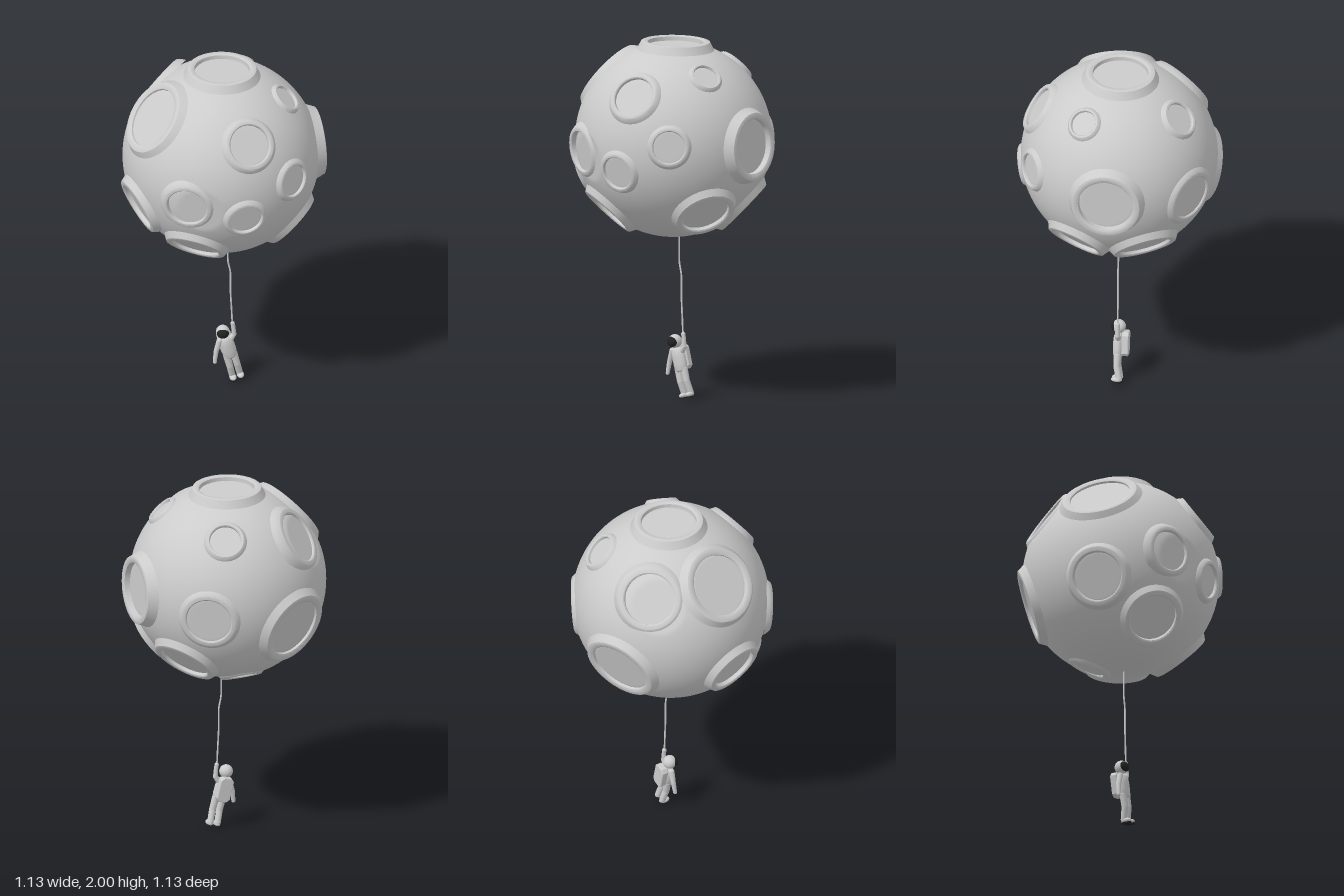
import * as THREE from 'three';
import { mergeVertices, toCreasedNormals } from 'three/addons/utils/BufferGeometryUtils.js';

const R = 0.542, CENTRE_Y = 1.457;
const grey = new THREE.MeshStandardMaterial({ color: 0xcccccc });
const dark = new THREE.MeshStandardMaterial({ color: 0x222222 });
const V = (x, y, z) => new THREE.Vector3(x, y, z);

// Craters: direction from the moon's centre, hole radius, rim lift, optional tilt of the axis
const CRATERS = [
  { dir: [0.008, 0.54, -0.008], hole: 0.153, lift: 0.026 },
  { dir: [0.055, 0.303, 0.44], hole: 0.112, lift: 0.02 },
  { dir: [0.3, 0.05, 0.446], hole: 0.088, lift: 0.017 },
  { dir: [0.013, -0.11, 0.53], hole: 0.09, lift: 0.018 },
  { dir: [-0.3, -0.037, 0.447], hole: 0.11, lift: 0.015, tilt: [0.13, -0.04, 0.05] },
  { dir: [-0.22, -0.386, 0.31], hole: 0.133, lift: 0.022 },
  { dir: [0.36, -0.36, 0.19], hole: 0.135, lift: 0.024 },
  { dir: [-0.485, -0.2, 0.1], hole: 0.133, lift: 0.026 },
  { dir: [0.33, 0.4, 0.15], hole: 0.07, lift: 0.016 },
  { dir: [0.165, 0.378, -0.36], hole: 0.085, lift: 0.018 },
  { dir: [0.54, 0.015, 0], hole: 0.152, lift: 0.036 },
  { dir: [0.3, -0.05, -0.445], hole: 0.125, lift: 0.01 },
  { dir: [0.34, -0.375, -0.19], hole: 0.142, lift: 0.022 },
  { dir: [-0.41, 0.34, 0.07], hole: 0.168, lift: 0.014, tilt: [0.03, -0.04, 0] },
  { dir: [-0.29, 0.32, -0.32], hole: 0.14, lift: 0.012, tilt: [-0.05, -0.1, 0.08] },
  { dir: [-0.21, -0.16, -0.47], hole: 0.168, lift: 0.018 },
  { dir: [0, -0.5, -0.2], hole: 0.09, lift: 0.01, tilt: [0, 0.05, -0.06] },
].map((c) => {
  const dir = V(...c.dir).normalize();
  const axis = dir.clone().add(V(...(c.tilt || [0, 0, 0]))).normalize();
  const floor = Math.sqrt(R * R - c.hole * c.hole);
  return { ...c, axis, floor, base: dir.multiplyScalar(floor) };
});

// Sphere cut flat by the floor plane of every crater
function moonSurface() {
  const sphere = new THREE.SphereGeometry(R, 240, 140);
  sphere.deleteAttribute('uv');
  sphere.deleteAttribute('normal');
  const geo = mergeVertices(sphere, 1e-5);
  const pos = geo.attributes.position, p = V(0, 0, 0);
  for (let i = 0; i < pos.count; i++) {
    p.fromBufferAttribute(pos, i);
    for (const { axis, base } of CRATERS) {
      const along = p.dot(axis), limit = base.dot(axis);
      if (along > limit) p.multiplyScalar(limit / along);
    }
    pos.setXYZ(i, p.x, p.y, p.z);
  }
  geo.computeVertexNormals();
  return geo;
}

// Raised rim, with its origin on the crater floor
function rimGeometry({ hole, lift, floor }) {
  const outer = hole * 1.45;
  const foot = Math.sqrt(R * R - outer * outer) - floor;
  const profile = [
    [outer, foot - 0.012], [hole * 1.38, foot * 0.8 + 0.002], [hole * 1.24, lift - 0.003],
    [hole * 1.19, lift], [hole * 1.05, lift], [hole, lift - 0.005], [hole * 0.98, -0.02],
  ].map(([r, y]) => new THREE.Vector2(r, y));
  return toCreasedNormals(new THREE.LatheGeometry(profile, 56), 0.6);
}

function add(parent, name, geo, mat, x = 0, y = 0, z = 0) {
  const mesh = new THREE.Mesh(geo, mat);
  mesh.name = name;
  mesh.position.set(x, y, z);
  parent.add(mesh);
  return mesh;
}

// Limb of tapered segments with round joints; each point is [x, y, z, radius]
function limb(parent, name, points) {
  const group = new THREE.Group();
  group.name = name;
  points.forEach(([x, y, z, r], i) => {
    add(group, name + 'Joint', new THREE.SphereGeometry(r, 16, 12), grey, x, y, z);
    if (!i) return;
    const a = V(...points[i - 1]), b = V(x, y, z), d = b.clone().sub(a);
    const seg = add(group, name + 'Segment',
      new THREE.CylinderGeometry(r, points[i - 1][3], d.length(), 16, 1, true), grey);
    seg.position.copy(a).add(b).multiplyScalar(0.5);
    seg.quaternion.setFromUnitVectors(V(0, 1, 0), d.normalize());
  });
  parent.add(group);
}

function buildAstronaut() {
  const man = new THREE.Group();
  man.name = 'astronaut';

  // Head and visor
  add(man, 'helmet', new THREE.SphereGeometry(0.038, 28, 20), grey, 0.01, 0.324, 0);
  const visor = add(man, 'visor', new THREE.SphereGeometry(0.034, 24, 16), dark, 0.007, 0.323, 0.016);
  visor.scale.set(1, 0.88, 0.85);

  // Leaning torso, backpack and legs
  const body = new THREE.Group();
  body.name = 'body';
  body.position.set(0.04, 0.222, 0);
  body.rotation.z = 0.25;
  man.add(body);
  const profile = [[0, -0.068], [0.03, -0.066], [0.039, -0.055], [0.041, -0.02],
    [0.04, 0.02], [0.036, 0.05], [0.022, 0.067], [0, 0.072]].map(([r, y]) => new THREE.Vector2(r, y));
  add(body, 'torso', new THREE.LatheGeometry(profile, 24), grey).scale.z = 0.72;

  const w = 0.036, h = 0.066, c = 0.016;
  const outline = new THREE.Shape([[-w + c, -h], [w - c, -h], [w, -h + c], [w, h - c],
    [w - c, h], [-w + c, h], [-w, h - c], [-w, -h + c]].map(([x, y]) => new THREE.Vector2(x, y)));
  add(body, 'backpack', new THREE.ExtrudeGeometry(outline, {
    depth: 0.03, bevelSize: 0.004, bevelThickness: 0.004, bevelSegments: 1,
  }), grey, 0, 0.012, -0.056);

  for (const side of [-1, 1]) {
    const x = side * 0.02;
    limb(body, side > 0 ? 'leftLeg' : 'rightLeg', [
      [x, -0.05, 0, 0.021], [x * 1.05, -0.12, 0.002, 0.019], [x * 1.1, -0.19, -0.012, 0.018],
    ]);
    const boot = add(body, 'boot', new THREE.SphereGeometry(0.021, 18, 12), grey, x * 1.1, -0.197, 0);
    boot.scale.set(0.95, 0.7, 1.5);
    const sole = add(body, 'sole', new THREE.CylinderGeometry(0.02, 0.02, 0.007, 18), dark, x * 1.1, -0.21, 0);
    sole.scale.z = 1.5;
  }

  // Hanging arm and arm holding the rope
  limb(man, 'rightArm', [[-0.008, 0.268, 0, 0.017], [-0.027, 0.205, 0, 0.014],
    [-0.034, 0.16, 0.004, 0.012], [-0.036, 0.14, 0.006, 0.011]]);
  limb(man, 'leftArm', [[0.052, 0.268, 0, 0.017], [0.073, 0.3, 0, 0.014],
    [0.07, 0.345, 0, 0.012], [0.066, 0.37, 0, 0.012]]);
  return man;
}

export function createModel() {
  const model = new THREE.Group();
  model.name = 'astronautHangingFromMoon';

  // Moon with craters
  const moon = new THREE.Group();
  moon.name = 'moon';
  moon.position.y = CENTRE_Y;
  model.add(moon);
  add(moon, 'moonSurface', moonSurface(), grey);
  for (const crater of CRATERS) {
    const rim = add(moon, 'craterRim', rimGeometry(crater), grey);
    rim.position.copy(crater.base);
    rim.quaternion.setFromUnitVectors(V(0, 1, 0), crater.axis);
  }

  // Rope
  const path = new THREE.CatmullRomCurve3([V(0.038, 0.95, 0), V(0.039, 0.85, 0), V(0.04, 0.77, 0),
    V(0.053, 0.7, 0), V(0.054, 0.58, 0), V(0.06, 0.46, 0), V(0.066, 0.34, 0)]);
  add(model, 'rope', new THREE.TubeGeometry(path, 48, 0.005, 8), grey);

  model.add(buildAstronaut());
  return model;
}
